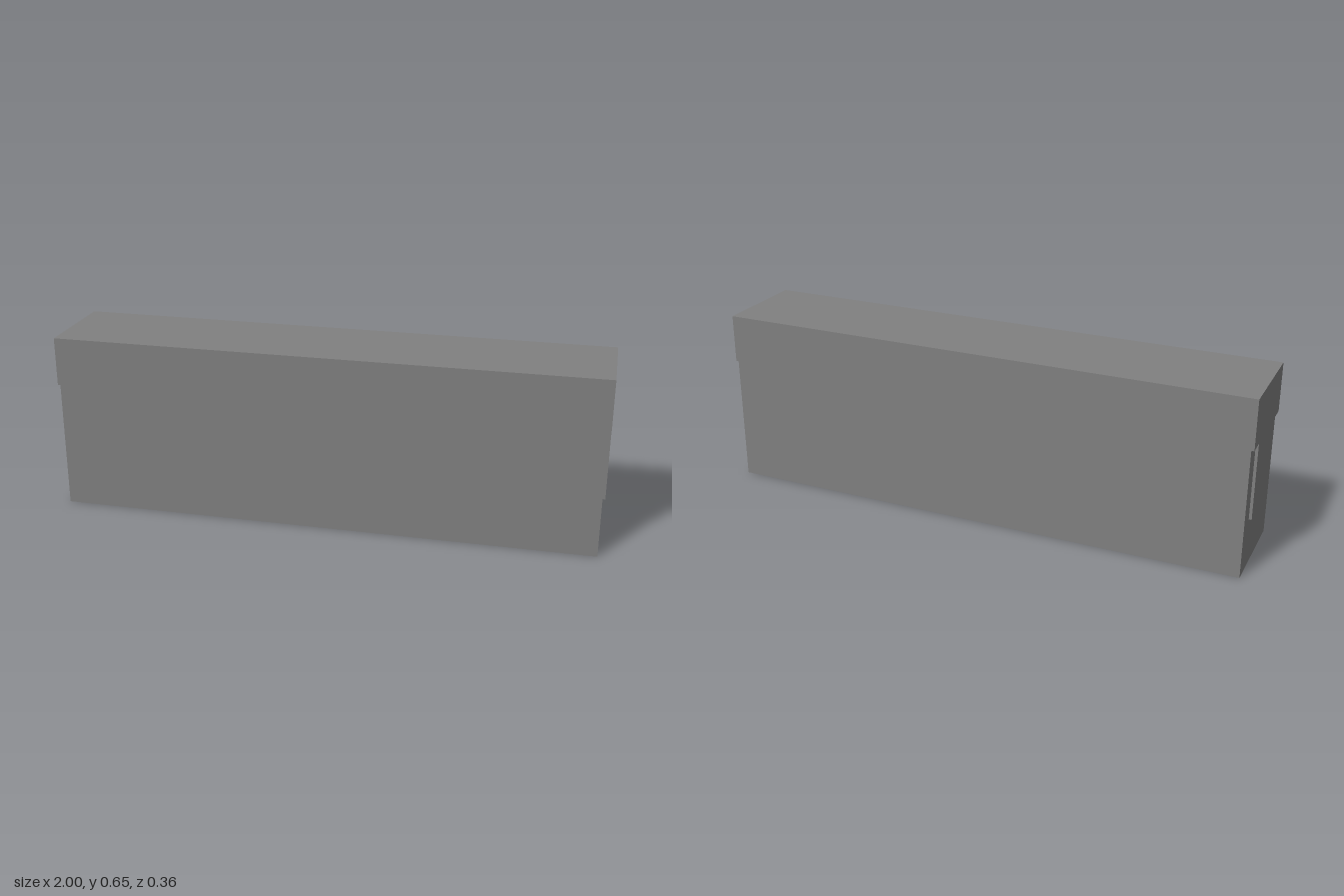
import * as THREE from 'three';

const HEIGHT = 0.652, HALF_DEPTH = 0.181; // overall block section
const BODY_HALF = 0.99, PLATE = 0.01;     // body half length, end plate thickness
const SHOULDER = 0.472, TONGUE_BOTTOM = 0.192, TONGUE_HALF = 0.117;

export function createModel() {
  const group = new THREE.Group();
  const material = new THREE.MeshStandardMaterial({ color: 0x808080, flatShading: true });

  // Main rectangular block
  const body = new THREE.Mesh(
    new THREE.BoxGeometry(BODY_HALF * 2, HEIGHT, HALF_DEPTH * 2), material);
  body.name = 'body';
  body.position.y = HEIGHT / 2;
  group.add(body);

  // T-shaped raised plate: full-width head with a narrower tongue below
  const outline = new THREE.Shape([
    [-HALF_DEPTH, HEIGHT], [-HALF_DEPTH, SHOULDER],
    [-TONGUE_HALF, SHOULDER], [-TONGUE_HALF, TONGUE_BOTTOM],
    [TONGUE_HALF, TONGUE_BOTTOM], [TONGUE_HALF, SHOULDER],
    [HALF_DEPTH, SHOULDER], [HALF_DEPTH, HEIGHT],
  ].map(([x, y]) => new THREE.Vector2(x, y)));
  const plateGeometry = new THREE.ExtrudeGeometry(outline, { depth: PLATE, bevelEnabled: false });

  // One plate on each end, facing outwards
  for (const side of [1, -1]) {
    const plate = new THREE.Mesh(plateGeometry, material);
    plate.name = side > 0 ? 'leftEndPlate' : 'rightEndPlate';
    plate.rotation.y = side * Math.PI / 2;
    plate.position.x = side * BODY_HALF;
    group.add(plate);
  }
  return group;
}
